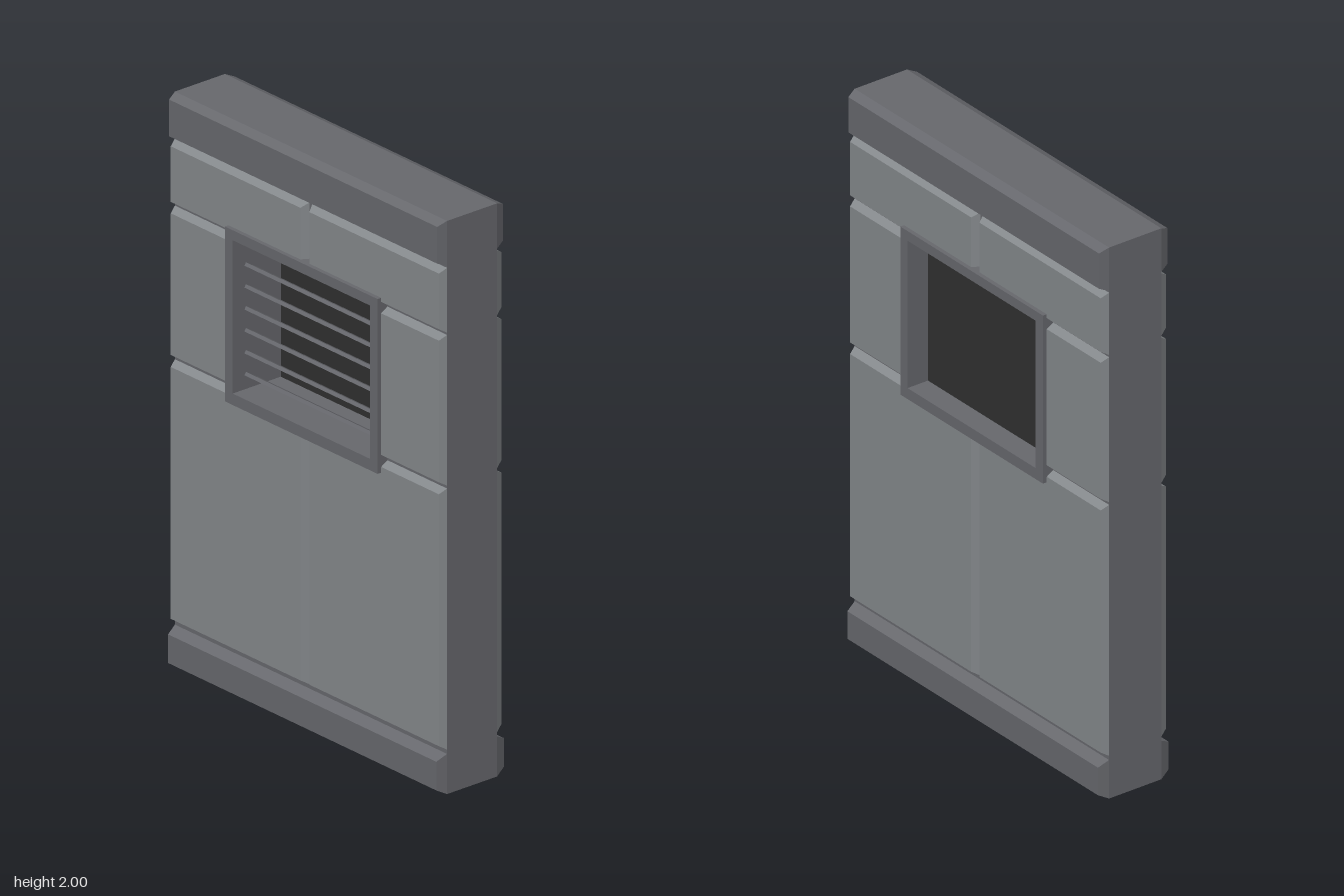
import * as THREE from 'three';

const W = 0.665;      // half width of the wall
const CORE = 0.105;   // half thickness of the core
const trim = new THREE.MeshStandardMaterial({ color: 0x68696e });
trim.name = 'darkGreyTrim';
const panel = new THREE.MeshStandardMaterial({ color: 0x85898c });
panel.name = 'greyPanel';
const dark = new THREE.MeshStandardMaterial({ color: 0x303030 });
dark.name = 'ventBlack';

function add(parent, name, geometry, material) {
  const mesh = new THREE.Mesh(geometry, material);
  mesh.name = name;
  parent.add(mesh);
  return mesh;
}

// Slab on the core face whose outer face is inset on every side
function bevelled(x0, x1, y0, y1, z1, insetL, insetR, insetY) {
  const g = new THREE.BoxGeometry(1, 1, 1);
  const p = g.attributes.position;
  for (let i = 0; i < p.count; i++) {
    const front = p.getZ(i) > 0 ? 1 : 0;
    const x = p.getX(i) < 0 ? x0 + insetL * front : x1 - insetR * front;
    const y = p.getY(i) < 0 ? y0 + insetY * front : y1 - insetY * front;
    p.setXYZ(i, x, y, front ? z1 : CORE);
  }
  g.computeVertexNormals();
  return g;
}

// Rectangular plate with the vent opening cut through it
function pierced(hw, y0, y1, z0, z1) {
  const s = new THREE.Shape([
    new THREE.Vector2(-hw, y0), new THREE.Vector2(hw, y0),
    new THREE.Vector2(hw, y1), new THREE.Vector2(-hw, y1),
  ]);
  s.holes.push(new THREE.Path([
    new THREE.Vector2(-0.335, 1.07), new THREE.Vector2(-0.335, 1.605),
    new THREE.Vector2(0.335, 1.605), new THREE.Vector2(0.335, 1.07),
  ]));
  return new THREE.ExtrudeGeometry(s, { depth: z1 - z0, bevelEnabled: false }).translate(0, 0, z0);
}

// Bands, panels and vent frame of one face
function createFace(name) {
  const face = new THREE.Group();
  face.name = name;
  add(face, 'bottomBand', bevelled(-W, W, 0, 0.14, 0.142, 0.01, 0.01, 0.02), trim);
  add(face, 'topBand', bevelled(-W, W, 1.842, 2, 0.138, 0.01, 0.01, 0.015), trim);

  // rows: bottom, top, inner edge, name
  const rows = [
    [0.155, 1.066, 0.007, 'lowerPanel'],
    [1.076, 1.602, 0.345, 'middlePanel'],
    [1.61, 1.836, 0.007, 'upperPanel'],
  ];
  for (const [y0, y1, inner, label] of rows) {
    add(face, label + 'Left', bevelled(inner, W, y0, y1, 0.131, 0.015, 0.01, 0.016), panel);
    add(face, label + 'Right', bevelled(-W, -inner, y0, y1, 0.131, 0.01, 0.015, 0.016), panel);
  }
  add(face, 'ventFrame', pierced(0.373, 1.03, 1.64, CORE, 0.146), trim);
  return face;
}

export function createModel() {
  const wall = new THREE.Group();
  wall.name = 'ventWall';
  add(wall, 'core', pierced(W, 0, 2, -CORE, CORE), trim);

  wall.add(createFace('frontFace'));
  const back = createFace('backFace');
  back.rotation.y = Math.PI;
  wall.add(back);

  // Dark plate closing the vent shaft near the back
  const plate = add(wall, 'ventBackPlate', new THREE.BoxGeometry(0.67, 0.535, 0.008), dark);
  plate.position.set(0, 1.3375, -0.06);

  // Tilted louvre slats on the front
  const slats = new THREE.Group();
  slats.name = 'louvreSlats';
  for (let i = 0; i < 7; i++) {
    const slat = add(slats, 'slat', new THREE.BoxGeometry(0.67, 0.012, 0.055), trim);
    slat.position.set(0, 1.11 + i * 0.0765, 0.07);
    slat.rotation.x = -0.55;
  }
  wall.add(slats);
  return wall;
}
